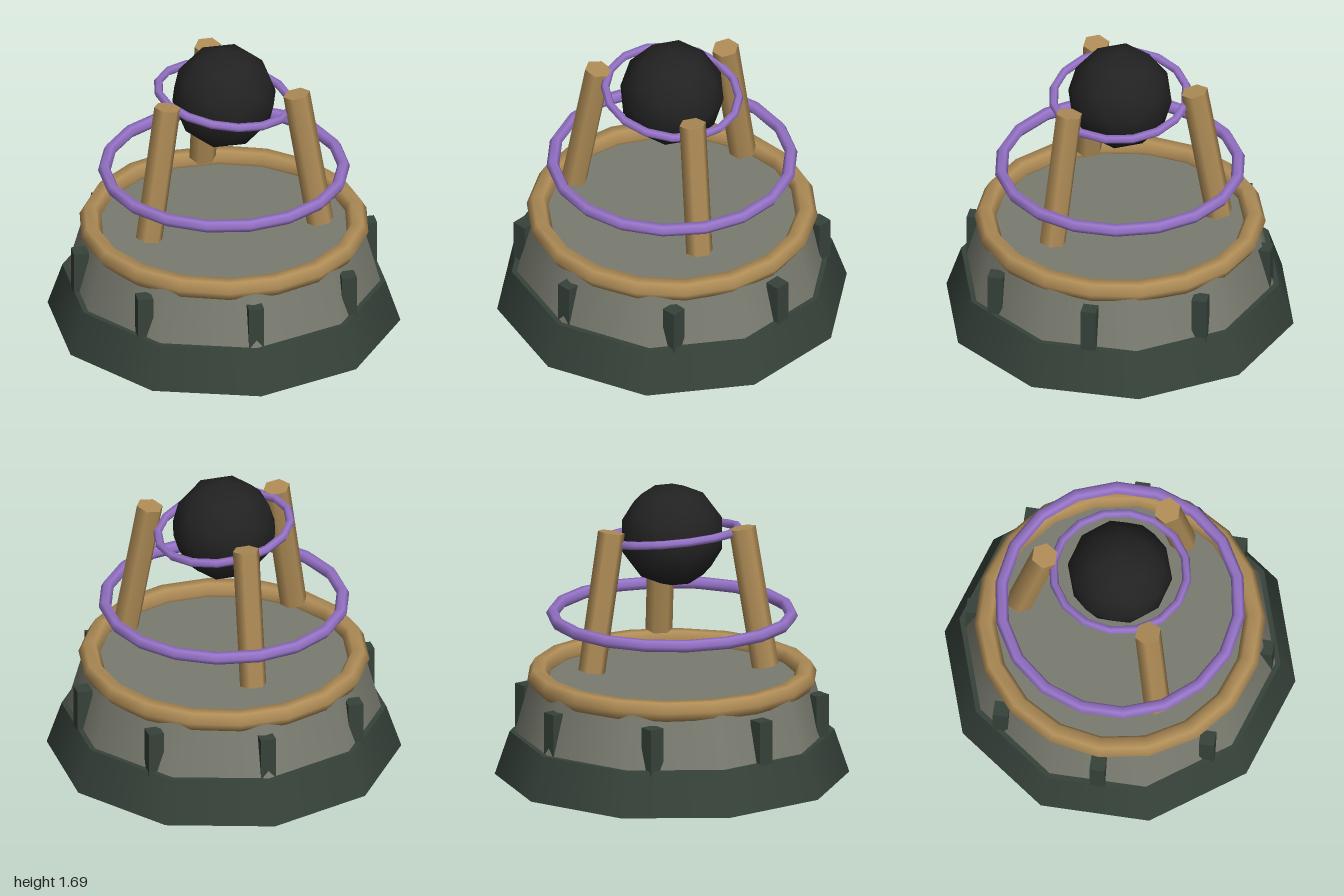
import * as THREE from 'three';

function mat(name, color) {
  const m = new THREE.MeshStandardMaterial({ color });
  m.name = name;
  return m;
}

export function createModel() {
  const model = new THREE.Group();
  model.name = 'orbPedestal';

  const darkStone = mat('darkStone', 0x36423a);
  const greyStone = mat('greyStone', 0x7a7c70);
  const bronze = mat('bronze', 0xb08d57);
  const violet = mat('violet', 0x9673c8);
  const black = mat('black', 0x222222);

  const add = (name, geometry, material, x = 0, y = 0, z = 0, parent = model) => {
    const mesh = new THREE.Mesh(geometry, material);
    mesh.name = name;
    mesh.position.set(x, y, z);
    parent.add(mesh);
    return mesh;
  };
  // Horizontal ring with a six-sided tube
  const ring = (radius, tube, segments) =>
    new THREE.TorusGeometry(radius, tube, 6, segments).rotateX(Math.PI / 2);

  // Two ten-sided tapered tiers
  add('base', new THREE.CylinderGeometry(0.916, 1, 0.25, 10), darkStone, 0, 0.125);
  add('upperTier', new THREE.CylinderGeometry(0.803, 0.886, 0.3, 10), greyStone, 0, 0.4);

  // Bronze rim around the platform
  add('rim', ring(0.76, 0.062, 18), bronze, 0, 0.572);

  // Eight square blocks around the tier, all aligned with the axes
  const blockGeometry = new THREE.BoxGeometry(0.087, 0.3, 0.087);
  for (let i = 0; i < 8; i++) {
    const a = (i / 8) * Math.PI * 2;
    add('block', blockGeometry, darkStone, Math.sin(a) * 0.831, 0.342, Math.cos(a) * 0.831);
  }

  // Three floating pillars leaning inwards
  const pillarGeometry = new THREE.CylinderGeometry(0.077, 0.077, 0.805, 6).rotateY(Math.PI / 6);
  for (let i = 0; i < 3; i++) {
    const pivot = new THREE.Group();
    pivot.name = 'pillarPivot';
    pivot.rotation.y = Math.PI + (i / 3) * Math.PI * 2;
    model.add(pivot);
    add('pillar', pillarGeometry, bronze, 0, 1.084, 0.5, pivot).rotation.x = -0.175;
  }

  // Floating rings, the small one tilted around the orb
  add('largeRing', ring(0.675, 0.036, 18).rotateY(Math.PI / 2), violet, 0, 0.928);
  add('smallRing', ring(0.38, 0.025, 16), violet, 0, 1.397).rotation.z = -0.15;

  // Orb
  add('orb', new THREE.IcosahedronGeometry(0.298, 1), black, 0, 1.395);

  return model;
}
